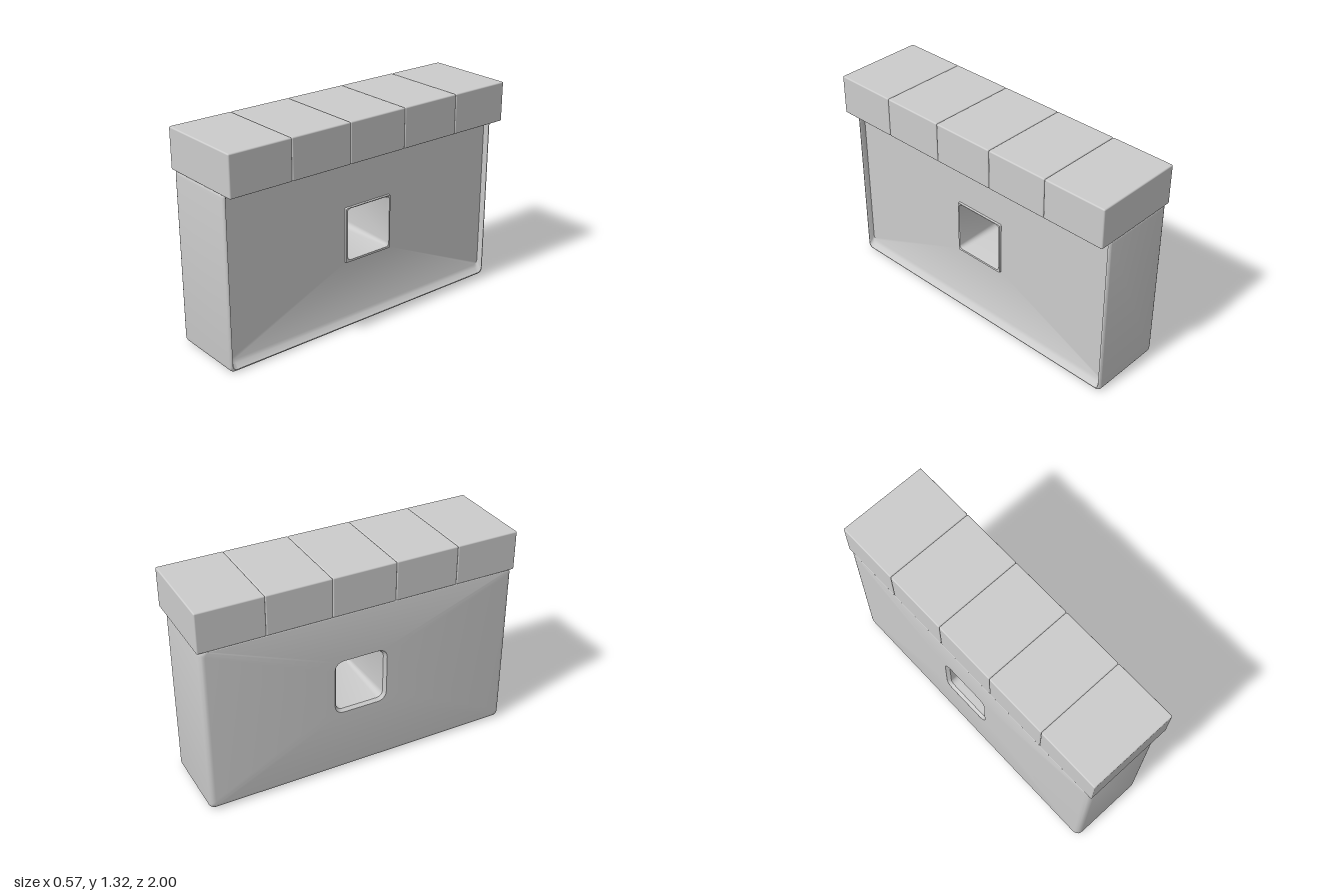
import * as THREE from 'three';
import { toCreasedNormals } from 'three/addons/utils/BufferGeometryUtils.js';
import { RoundedBoxGeometry } from 'three/addons/geometries/RoundedBoxGeometry.js';

const CORNER = 5; // segments per rounded corner

// Rounded rectangle in the plane at x, bounded by z0..z1 and y0..y1
function ring(x, z0, z1, y0, y1, r) {
  const centres = [[z1 - r, y1 - r], [z0 + r, y1 - r], [z0 + r, y0 + r], [z1 - r, y0 + r]];
  const points = [];
  centres.forEach(([cz, cy], q) => {
    for (let i = 0; i <= CORNER; i++) {
      const a = (q + i / CORNER) * Math.PI / 2;
      points.push([x, cy + r * Math.sin(a), cz + r * Math.cos(a)]);
    }
  });
  return points;
}

// Joins the rings in order, the last one back to the first
function closedLoft(rings) {
  const n = rings[0].length, index = [];
  rings.forEach((_, i) => {
    const k = (i + 1) % rings.length;
    for (let j = 0; j < n; j++) {
      const l = (j + 1) % n;
      index.push(i * n + j, k * n + j, i * n + l, k * n + j, k * n + l, i * n + l);
    }
  });
  const geo = new THREE.BufferGeometry();
  geo.setAttribute('position', new THREE.Float32BufferAttribute(rings.flat(2), 3));
  geo.setIndex(index);
  return toCreasedNormals(geo, 0.5);
}

function wallGeometry() {
  const outer = (x, inset, r = 0.03) =>
    ring(x, -0.99 + inset, 0.99 - inset, inset, 1.075 - inset * 0.3, r);
  const rings = [];

  // window mouth on the plain face, slightly flared
  rings.push(ring(-0.265, -0.175, 0.135, 0.425, 0.75, 0.04));
  rings.push(ring(-0.285, -0.19, 0.15, 0.41, 0.765, 0.055));

  // soft edge of the plain face
  for (let i = 0; i <= 5; i++) {
    const a = i / 5 * Math.PI / 2;
    rings.push(outer(-0.245 - 0.04 * Math.cos(a), 0.035 * (1 - Math.sin(a))));
  }

  // rounded rim of the panelled face
  for (let i = 0; i <= 4; i++) {
    const a = i / 4 * Math.PI / 2;
    rings.push(outer(0.187 + 0.018 * Math.sin(a), 0.014 * (1 - Math.cos(a))));
  }

  // recess, with a sloping ledge along the bottom
  rings.push(ring(0.198, -0.972, 0.972, 0.02, 1.056, 0.03));
  rings.push(ring(0.18, -0.97, 0.97, 0.04, 1.052, 0.03));
  rings.push(ring(0.17, -0.968, 0.968, 0.06, 1.05, 0.03));

  // raised window frame and opening
  rings.push(ring(0.17, -0.19, 0.15, 0.41, 0.757, 0.008));
  rings.push(ring(0.183, -0.188, 0.148, 0.412, 0.755, 0.008));
  rings.push(ring(0.183, -0.18, 0.138, 0.425, 0.75, 0.02));
  rings.push(ring(0.17, -0.175, 0.135, 0.428, 0.747, 0.025));
  return closedLoft(rings);
}

export function createModel() {
  const model = new THREE.Group();
  const material = new THREE.MeshStandardMaterial({ color: 0xcccccc });

  const wall = new THREE.Mesh(wallGeometry(), material);
  wall.name = 'wall';
  model.add(wall);

  // row of coping stones on top, overhanging the panelled face
  const coping = new THREE.Group();
  coping.name = 'coping';
  const stone = new RoundedBoxGeometry(0.57, 0.248, 0.4, 3, 0.008);
  for (let i = 0; i < 5; i++) {
    const block = new THREE.Mesh(stone, material);
    block.name = `copingStone${i + 1}`;
    block.position.set(0, 1.191, -0.8 + i * 0.4);
    coping.add(block);
  }
  model.add(coping);
  return model;
}
